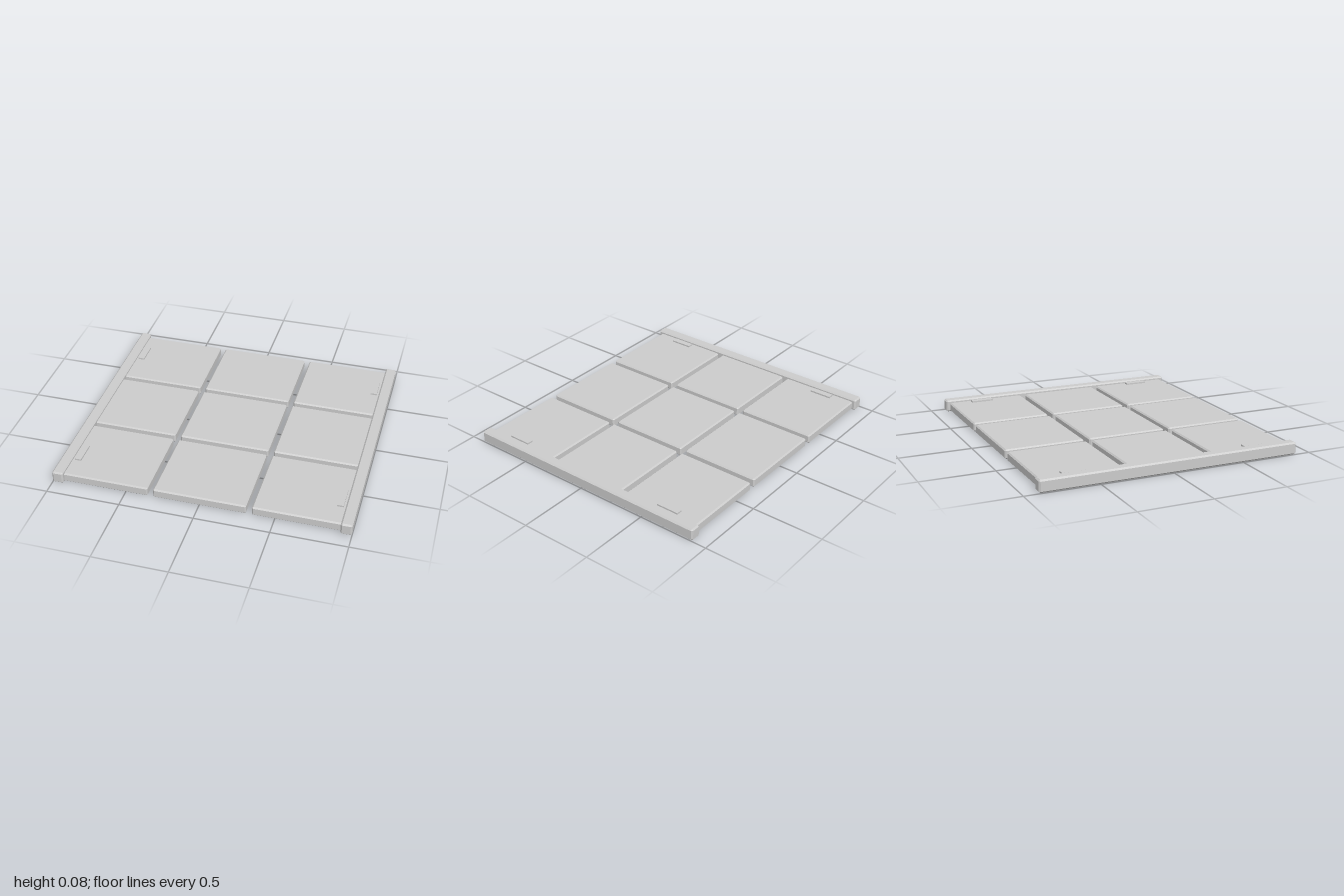
import * as THREE from 'three';
import { ConvexGeometry } from 'three/addons/geometries/ConvexGeometry.js';

const material = new THREE.MeshStandardMaterial({ color: 0xcccccc, flatShading: true });

// Box with every edge cut by a chamfer of size c
function chamferBox(w, h, d, c) {
  const points = [];
  for (const sx of [-1, 1]) for (const sy of [-1, 1]) for (const sz of [-1, 1]) {
    const x = w / 2, y = h / 2, z = d / 2;
    points.push(
      new THREE.Vector3(sx * x, sy * (y - c), sz * (z - c)),
      new THREE.Vector3(sx * (x - c), sy * y, sz * (z - c)),
      new THREE.Vector3(sx * (x - c), sy * (y - c), sz * z),
    );
  }
  return new ConvexGeometry(points);
}

export function createModel() {
  const model = new THREE.Group();
  model.name = 'panelTray';

  const add = (name, geometry, x, y, z) => {
    const mesh = new THREE.Mesh(geometry, material);
    mesh.name = name;
    mesh.position.set(x, y, z);
    model.add(mesh);
  };

  // Three by three grid of slabs with open gaps between them
  const slab = chamferBox(0.622, 0.064, 0.556, 0.009);
  for (const col of [-1, 0, 1]) for (const row of [-1, 0, 1]) {
    add('panel', slab, col * 0.66, 0.032, row * 0.595);
  }

  const rail = chamferBox(0.075, 0.084, 1.8, 0.01);
  const clip = new THREE.BoxGeometry(0.043, 0.02, 0.158);
  for (const side of [1, -1]) {
    // Side rail
    add(side > 0 ? 'leftRail' : 'rightRail', rail, side * 0.9625, 0.042, 0);
    // Small raised clips beside the rail
    for (const end of [1, -1]) add('clip', clip, side * 0.889, 0.065, end * 0.638);
  }

  return model;
}
